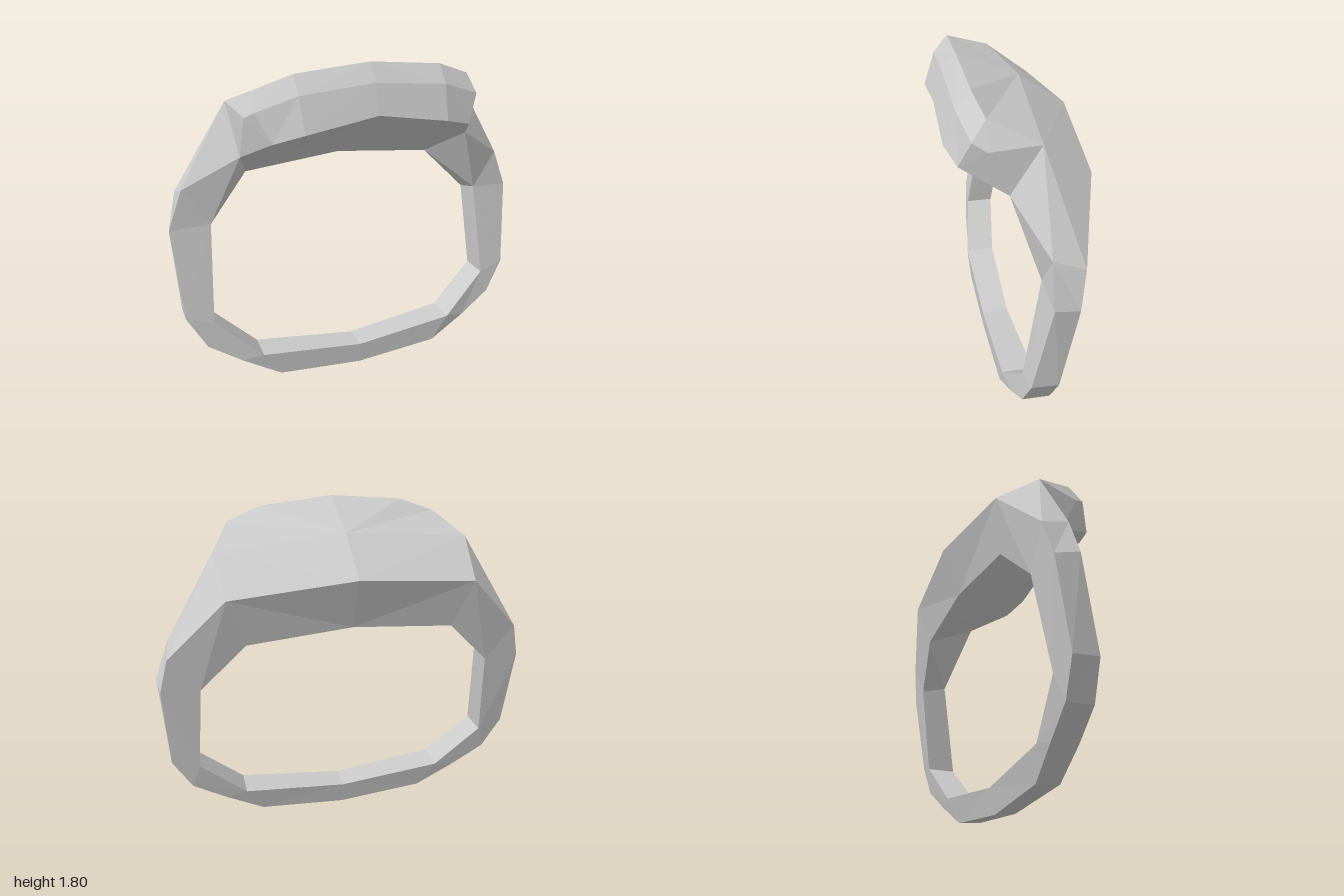
import * as THREE from 'three';

// Fans each polygon into triangles and mirrors it across x = 0.
function mirroredMesh(name, polygons) {
  const positions = [];
  for (const poly of polygons) {
    for (let i = 1; i < poly.length - 1; i++) {
      const tri = [poly[0], poly[i], poly[i + 1]];
      const [a, b, c] = tri.map(p => new THREE.Vector3(...p));
      if (b.sub(a).cross(c.sub(a)).length() < 1e-6) continue; // collapsed corner
      tri.forEach(p => positions.push(...p));
      [...tri].reverse().forEach(([x, y, z]) => positions.push(-x, y, z));
    }
  }
  const geometry = new THREE.BufferGeometry();
  geometry.setAttribute('position', new THREE.Float32BufferAttribute(positions, 3));
  geometry.computeVertexNormals();
  const mesh = new THREE.Mesh(geometry, new THREE.MeshStandardMaterial({ color: 0xcccccc, flatShading: true }));
  mesh.name = name;
  return mesh;
}

export function createModel() {
  // Shoulder corners, shared by the band and the head
  const crest = [0.665, 1.605, -0.06];
  const back = [0.635, 1.43, -0.295];
  const innerBack = [0.545, 1.17, -0.23];
  const shoulder = [0.635, 1.35, 0.08];

  // Band: sections from the bottom up, as outer front, outer back, inner back, inner front
  const inner = [
    [[0, 0.135, -0.05], [0, 0.135, 0.1]],
    [[0.575, 0.2, -0.07], [0.575, 0.2, 0.1]],
    [[0.825, 0.435, -0.11], [0.825, 0.435, 0.05]],
    [[0.785, 0.93, -0.185], [0.785, 0.97, -0.04]],
  ];
  const sections = [
    [[0, 0.015, 0.095], [0, 0, -0.02], ...inner[0]],
    [[0.48, 0.055, 0.095], [0.48, 0.045, -0.03], ...inner[1]],
    [[0.69, 0.18, 0.08], [0.69, 0.175, -0.06], ...inner[1]],
    [[0.87, 0.3, 0.06], [0.87, 0.295, -0.08], ...inner[2]],
    [[0.97, 0.48, 0.04], [0.97, 0.47, -0.095], ...inner[2]],
    [[1, 0.96, -0.045], [0.985, 0.93, -0.17], ...inner[3]],
    [[0.92, 1.17, -0.05], [0.935, 1.12, -0.2], ...inner[3]],
    [crest, back, innerBack, shoulder],
  ];
  const band = [];
  for (let i = 0; i < sections.length - 1; i++) {
    const a = sections[i], b = sections[i + 1];
    for (let k = 0; k < 4; k++) {
      const n = (k + 1) % 4;
      band.push([a[n], b[n], b[k], a[k]]);
    }
  }

  // Head: centre line points and three rows across the front rim, centre to side
  const crestMid = [0, 1.67, -0.1];
  const backMid = [0, 1.495, -0.345];
  const innerMid = [0, 1.22, -0.245];
  const top = [[0, 1.8, 0.215], [0.385, 1.765, 0.205], [0.565, 1.7, 0.17]];
  const mid = [[0, 1.71, 0.285], [0.385, 1.675, 0.28], [0.59, 1.605, 0.24]];
  const low = [[0, 1.56, 0.335], [0.375, 1.5, 0.34], [0.525, 1.46, 0.295]];
  const cheek = [0.625, 1.57, 0.176];
  const head = [
    [crest, back, backMid, crestMid],
    [crestMid, ...top, crest],
    [back, innerBack, innerMid, backMid],
    [innerBack, shoulder, low[2], low[1], low[0], innerMid],
  ];
  // Front rim bands
  for (const [upper, lower] of [[top, mid], [mid, low]]) {
    for (let i = 0; i < 2; i++) head.push([upper[i], lower[i], lower[i + 1], upper[i + 1]]);
  }
  // Faceted cheek at the side of the head
  const rim = [crest, top[2], mid[2], low[2], shoulder];
  rim.forEach((p, i) => head.push([p, rim[(i + 1) % rim.length], cheek]));

  const group = new THREE.Group();
  group.name = 'ring';
  group.add(mirroredMesh('band', band), mirroredMesh('head', head));
  return group;
}
